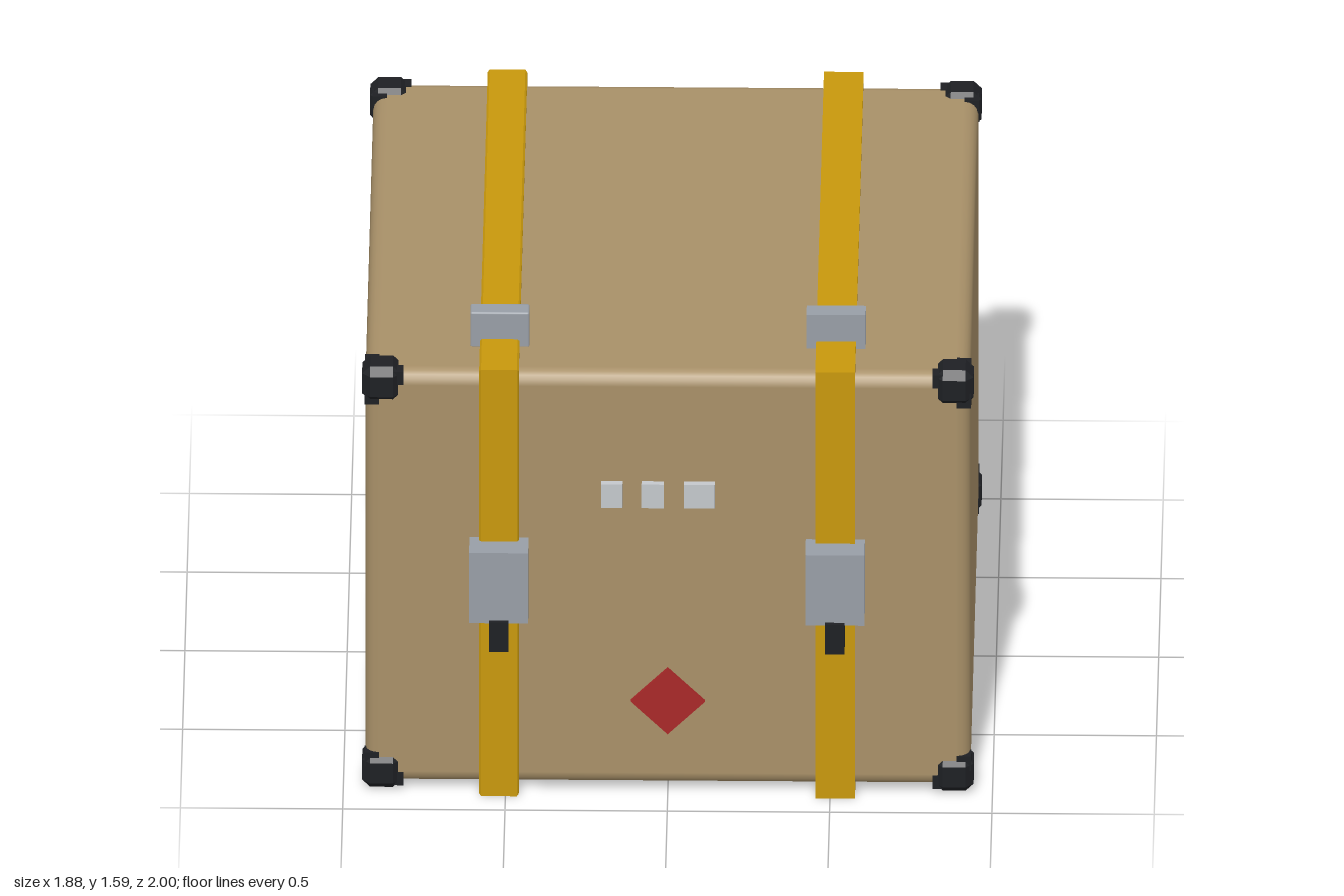
import * as THREE from 'three';
import { RoundedBoxGeometry } from 'three/addons/geometries/RoundedBoxGeometry.js';
import { ConvexGeometry } from 'three/addons/geometries/ConvexGeometry.js';

const mat = (color, flatShading = false) => {
  const m = new THREE.MeshStandardMaterial({ flatShading });
  m.color.set(color);
  return m;
};

export function createModel() {
  const model = new THREE.Group();
  const tan = mat(0xa89068), yellow = mat(0xc8980c), metal = mat(0x989ea6);
  const pale = mat(0xc4c8cc), red = mat(0xa82828), black = mat(0x1e2024, true), rubber = mat(0x111113);

  const add = (name, geometry, material, parent = model) => {
    const mesh = new THREE.Mesh(geometry, material);
    mesh.name = name;
    parent.add(mesh);
    return mesh;
  };
  // Box given by its minimum and maximum corners
  const block = (name, [x0, y0, z0], [x1, y1, z1], material, bevel = 0) => {
    const w = x1 - x0, h = y1 - y0, d = z1 - z0;
    const g = bevel ? new RoundedBoxGeometry(w, h, d, 2, bevel) : new THREE.BoxGeometry(w, h, d);
    return add(name, g.translate((x0 + x1) / 2, (y0 + y1) / 2, (z0 + z1) / 2), material);
  };

  // Case body with softened edges
  block('caseBody', [-0.932, 0.026, -0.975], [0.932, 1.474, 0.885], tan, 0.045);

  // Closed strap loop around the case, hole corners cut to follow the rounded edges
  const strapGeometry = (bevel) => {
    const b = bevel, s = new THREE.Shape();
    s.moveTo(-1 + b, b).lineTo(0.912 - b, b).lineTo(0.912 - b, 1.5 - b).lineTo(-1 + b, 1.5 - b).closePath();
    const [l, r, d, u, c] = [-0.965, 0.875, 0.036, 1.464, 0.04];
    s.holes.push(new THREE.Path([[l + c, d], [l, d + c], [l, u - c], [l + c, u], [r - c, u], [r, u - c], [r, d + c], [r - c, d]]
      .map(([x, y]) => new THREE.Vector2(x, y))));
    const depth = 0.122 - 2 * b;
    return new THREE.ExtrudeGeometry(s, { depth, bevelEnabled: b > 0, bevelSize: b, bevelThickness: b, bevelSegments: 1 })
      .translate(0, 0, -depth / 2).rotateY(-Math.PI / 2);
  };

  // Straps with their front buckles, release tabs and top clasps
  for (const [side, x, bevel] of [['right', -0.52, 0.006], ['left', 0.516, 0]]) {
    add(side + 'Strap', strapGeometry(bevel), yellow).position.x = x;
    block(side + 'Buckle', [x - 0.091, 0.65, 0.875], [x + 0.091, 0.897, 0.987], metal);
    block(side + 'ReleaseTab', [x - 0.03, 0.556, 0.905], [x + 0.03, 0.66, 1], black);
    block(side + 'TopClasp', [x - 0.091, 1.47, 0.655], [x + 0.091, 1.593, 0.715], metal, bevel);
  }

  // Cube cut at edges and corners, shared by the corner guards
  const guardPoints = [];
  const a = 0.06, c = 0.035;
  for (const sx of [-1, 1]) for (const sy of [-1, 1]) for (const sz of [-1, 1])
    for (const [px, py, pz] of [[a, c, c], [c, a, c], [c, c, a]])
      guardPoints.push(new THREE.Vector3(sx * px, sy * py, sz * pz));
  const guardGeometry = new ConvexGeometry(guardPoints);

  // Corner guards, each with short arms along the three meeting edges
  for (const sx of [-1, 1]) for (const sy of [-1, 1]) for (const sz of [-1, 1]) {
    const guard = new THREE.Group();
    guard.name = 'cornerGuard';
    guard.position.set(sx * 0.882, 0.75 + sy * 0.68, -0.045 + sz * 0.885);
    add('guardCap', guardGeometry, black, guard);
    for (let axis = 0; axis < 3; axis++) {
      const size = [0.045, 0.045, 0.045], at = [sx * 0.03, sy * 0.025, sz * 0.025];
      size[axis] = 0.05;
      at[axis] = -[sx, sy, sz][axis] * 0.042;
      add('guardArm', new THREE.BoxGeometry(...size), black, guard).position.set(...at);
    }
    model.add(guard);
  }

  // Small plates and diamond panel on the front
  for (const [x0, x1] of [[-0.205, -0.14], [-0.08, -0.012], [0.05, 0.145]])
    block('frontPlate', [x0, 1.02, 0.895], [x1, 1.103, 0.917], pale);
  const diamond = add('diamondPanel', new THREE.BoxGeometry(0.162, 0.162, 0.014), red);
  diamond.rotation.z = Math.PI / 4;
  diamond.position.set(0, 0.338, 0.908);

  // Rubber runners under the base
  for (const s of [-1, 1]) {
    const runner = add('baseRunner', new THREE.BoxGeometry(0.205, 0.016, 1.7), rubber);
    runner.position.set(s * 0.785, 0.029, -0.045);
  }
  return model;
}
